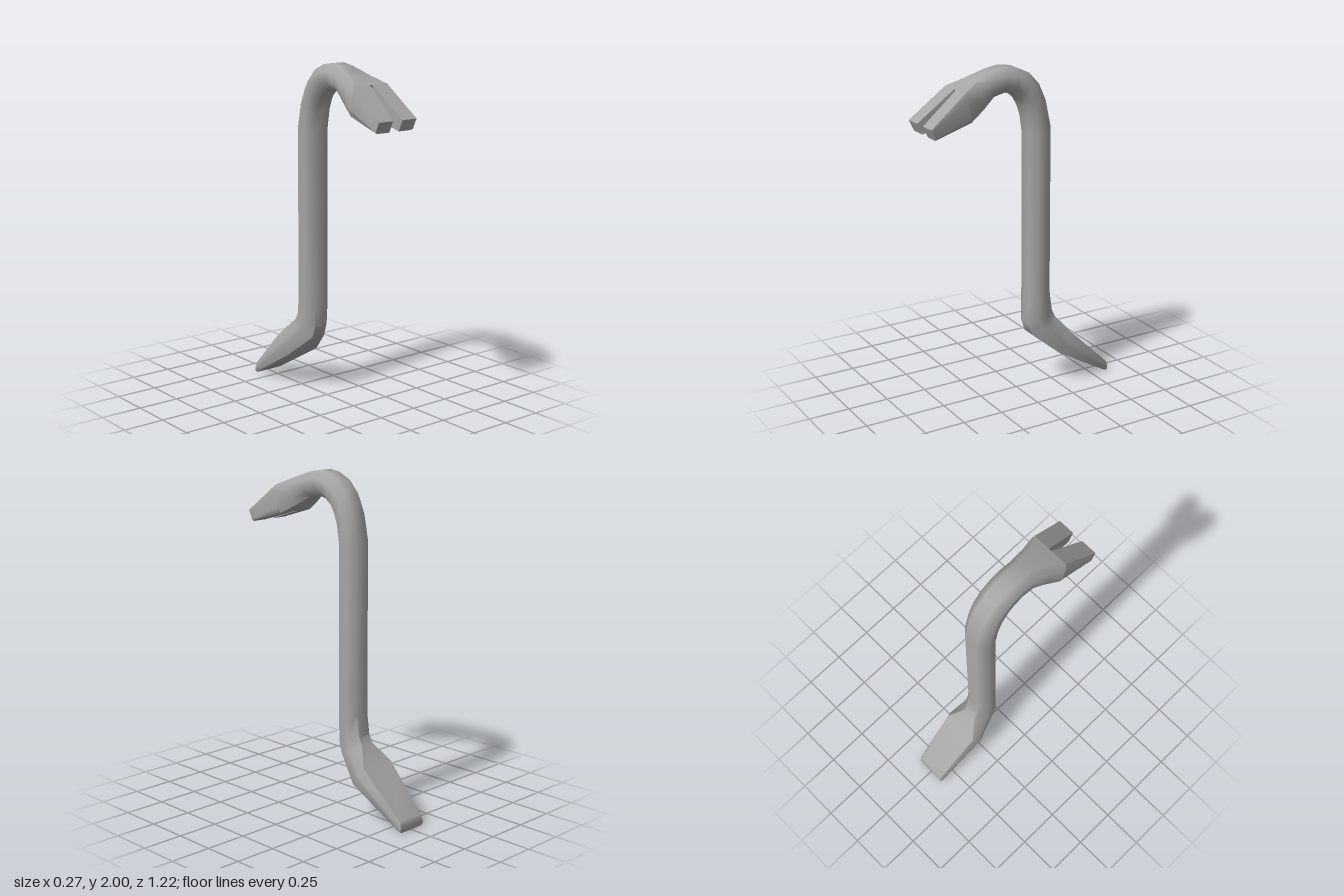
import * as THREE from 'three';
import { toCreasedNormals } from 'three/addons/utils/BufferGeometryUtils.js';

const steel = new THREE.MeshStandardMaterial({ color: 0xa6a6a6 });
steel.name = 'grey steel';

// Each section: outer z, y, inner z, y, outer face half width, full half width,
// inner face half width, half height of the side flat (fraction of thickness)
const slitStart = [0.39, 1.9, 0.355, 1.732, 0.115, 0.128, 0.118, 0.3];
const barSections = [
  slitStart,
  [0.30, 1.94, 0.26, 1.785, 0.07, 0.105, 0.085, 0.22],
  [0.18, 1.985, 0.17, 1.84, 0.045, 0.087, 0.045, 0.2],
  [0.10, 2.0, 0.10, 1.855, 0.042, 0.087, 0.042, 0.2],
  [0.02, 1.988, 0.05, 1.842, 0.042, 0.087, 0.042, 0.2],
  [-0.06, 1.95, 0.005, 1.805, 0.042, 0.087, 0.042, 0.2],
  [-0.125, 1.88, -0.025, 1.755, 0.042, 0.087, 0.042, 0.2],
  [-0.17, 1.78, -0.046, 1.69, 0.042, 0.087, 0.042, 0.2],
  [-0.205, 1.62, -0.06, 1.59, 0.042, 0.087, 0.042, 0.2],
  [-0.208, 0.60, -0.06, 0.52, 0.042, 0.087, 0.042, 0.2],
  [-0.225, 0.475, -0.06, 0.415, 0.042, 0.087, 0.042, 0.2],
  [-0.25, 0.425, -0.085, 0.345, 0.045, 0.092, 0.045, 0.15],
  [-0.33, 0.325, -0.245, 0.208, 0.112, 0.13, 0.112, 0.08],
  [-0.595, 0.068, -0.575, 0.014, 0.09, 0.1, 0.09, 0.2],
  [-0.61, 0.04, -0.602, 0, 0.086, 0.095, 0.082, 0.2],
];
const clawTip = [0.612, 1.727, 0.582, 1.662, 0.136, 0.135, 0.122, 0.4];

// Right half of a section, from the outer face round to the inner face
function halfLoop([oz, oy, iz, iy, fo, w, fi, s]) {
  return [[fo, 0], [w, 0.5 - s], [w, 0.5 + s], [fi, 1]].map(([x, t]) =>
    new THREE.Vector3(x, oy + (iy - oy) * t, oz + (iz - oz) * t));
}

const mirrorX = (p) => new THREE.Vector3(-p.x, p.y, p.z);

function fullLoop(section) {
  const half = halfLoop(section);
  return [...half, ...half.map(mirrorX).reverse()];
}

// One prong section: the half loop closed along the wall of the slit
function prongLoop(section, slit, side) {
  const half = halfLoop(section);
  const first = half[0].clone().setX(slit);
  const last = half[3].clone().setX(slit);
  const loop = [first, ...half, last];
  return side > 0 ? loop : loop.map(mirrorX).reverse();
}

// Skin between loops, with both ends closed
function loft(name, loops) {
  const n = loops[0].length;
  const index = [];
  for (let i = 0; i < loops.length - 1; i++) {
    for (let j = 0; j < n; j++) {
      const k = (j + 1) % n;
      const a = i * n + j, b = i * n + k, c = b + n, d = a + n;
      index.push(a, b, c, a, c, d);
    }
  }
  const end = (loops.length - 1) * n;
  for (let j = 1; j < n - 1; j++) {
    index.push(0, j + 1, j, end, end + j, end + j + 1);
  }
  const geometry = new THREE.BufferGeometry().setFromPoints(loops.flat());
  geometry.setIndex(index);
  const mesh = new THREE.Mesh(toCreasedNormals(geometry, 0.85), steel);
  mesh.name = name;
  return mesh;
}

export function createModel() {
  const group = new THREE.Group();
  group.name = 'pryBar';

  // Hook, shaft and flat chisel foot in one sweep
  group.add(loft('shaftAndChisel', barSections.map(fullLoop)));

  // Two claw prongs either side of the tapered slit
  for (const side of [1, -1]) {
    group.add(loft(side > 0 ? 'leftProng' : 'rightProng', [
      prongLoop(clawTip, 0.034, side),
      prongLoop(slitStart, 0.01, side),
    ]));
  }
  return group;
}
